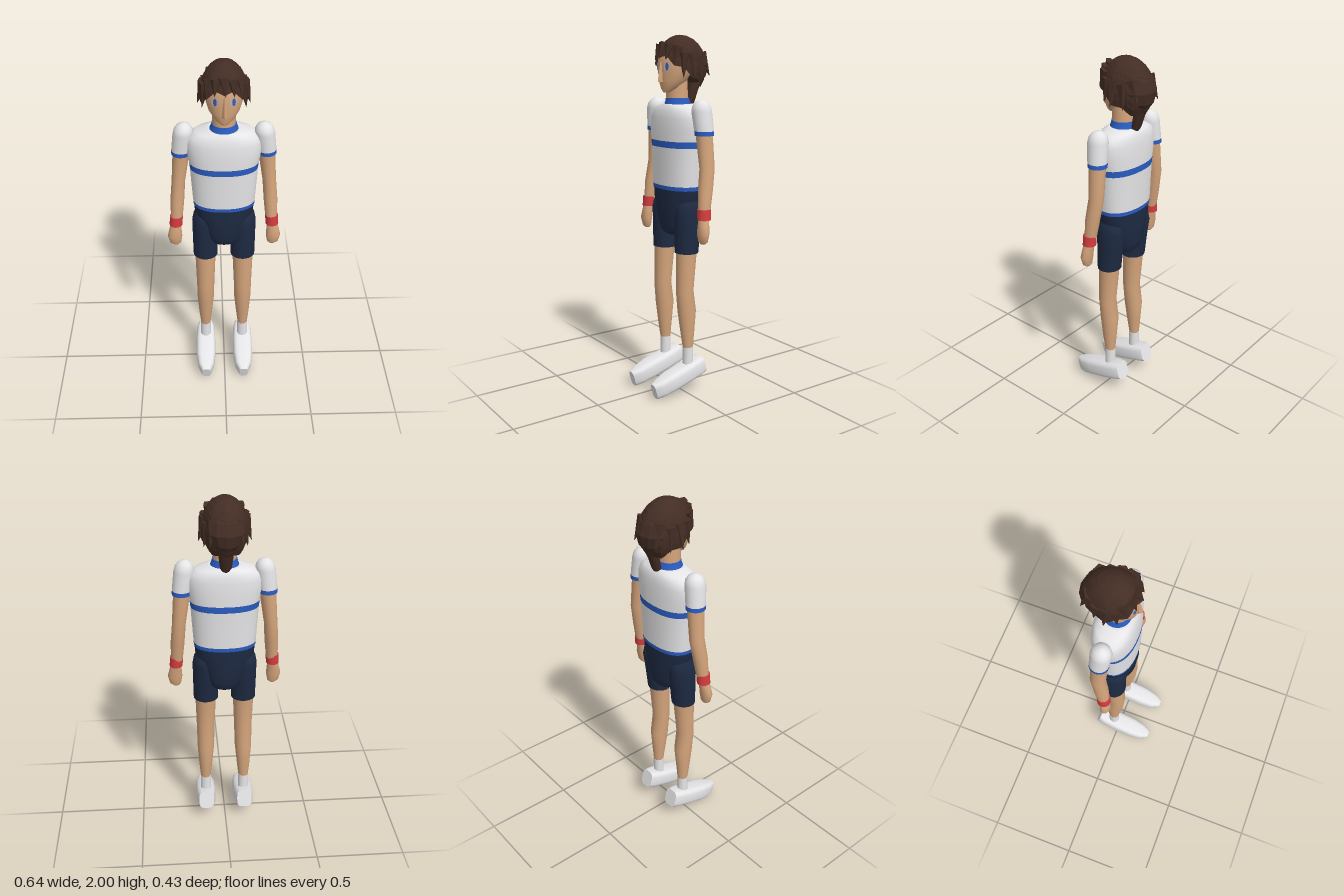
import * as THREE from 'three';

const mat = (name, color, side = THREE.FrontSide) => {
  const m = new THREE.MeshStandardMaterial({ color, side });
  m.name = name;
  return m;
};

// Closed body through superellipse rings [y, centreX, centreZ, radiusX, radiusZ], bottom to top.
// bands gives a material index for each step between rings.
function loft(rings, { n = 24, power = 2, bands = [] } = {}) {
  const pos = [], index = [], geo = new THREE.BufferGeometry();
  const bend = (v) => Math.sign(v) * Math.abs(v) ** (2 / power);
  const addRing = ([y, cx, cz, rx, rz]) => {
    for (let j = 0; j < n; j++) {
      const t = (j / n) * Math.PI * 2;
      pos.push(cx + rx * bend(Math.cos(t)), y, cz + rz * bend(Math.sin(t)));
    }
  };
  rings.forEach(addRing);
  for (let i = 0; i < rings.length - 1; i++) {
    geo.addGroup(index.length, n * 6, bands[i] ?? 0);
    for (let j = 0; j < n; j++) {
      const a = i * n + j, b = i * n + (j + 1) % n;
      index.push(a, a + n, b, b, a + n, b + n);
    }
  }
  [rings[0], rings[rings.length - 1]].forEach((r, top) => {
    const base = pos.length / 3;
    geo.addGroup(index.length, n * 3, (top ? bands[rings.length - 2] : bands[0]) ?? 0);
    addRing(r);
    pos.push(r[1], r[0], r[2]);
    for (let j = 0; j < n; j++) {
      const a = base + j, b = base + (j + 1) % n;
      index.push(base + n, top ? b : a, top ? a : b);
    }
  });
  geo.setAttribute('position', new THREE.Float32BufferAttribute(pos, 3));
  geo.setIndex(index);
  geo.computeVertexNormals();
  return geo;
}

function faceted(geo) {
  const g = geo.index ? geo.toNonIndexed() : geo;
  g.computeVertexNormals();
  return g;
}

// Ridged hair shell, with a jagged rim that is high over the face and low behind
function hairCap() {
  const cols = 32, rows = 9, pos = [], index = [];
  for (let i = 0; i <= rows; i++) {
    for (let j = 0; j < cols; j++) {
      const t = (j / cols) * Math.PI * 2, c = Math.cos(t), s = Math.sin(t);
      const ridge = j % 4 === 0 ? 1 : j % 4 === 2 ? -1 : 0;
      const rim = 1.85 - 0.5 * s - 0.12 * Math.max(0, s) ** 3 + 0.07 * ridge;
      const phi = (rim * i) / rows;
      const r = Math.sin(phi) * (1 + 0.035 * ridge * (i / rows));
      pos.push(0.122 * r * c, 1.83 + 0.17 * Math.cos(phi), -0.05 + (s > 0 ? 0.138 : 0.155) * r * s);
    }
  }
  for (let i = 0; i < rows; i++) {
    for (let j = 0; j < cols; j++) {
      const a = i * cols + j, b = i * cols + (j + 1) % cols;
      index.push(a, b, a + cols, b, b + cols, a + cols);
    }
  }
  const geo = new THREE.BufferGeometry();
  geo.setAttribute('position', new THREE.Float32BufferAttribute(pos, 3));
  geo.setIndex(index);
  return faceted(geo);
}

export function createModel() {
  const model = new THREE.Group();
  model.name = 'athlete';
  const skin = mat('skin', 0xd5a57c), white = mat('white cloth', 0xe6e6e8), blue = mat('blue trim', 0x2a5cc0);
  const navy = mat('navy shorts', 0x1e2a42), red = mat('red wristband', 0xd63c40);
  const hair = mat('brown hair', 0x432d24, THREE.DoubleSide);
  const eyeWhite = mat('eye grey', 0xb4b4c2), iris = mat('eye blue', 0x4a5a94);
  const add = (name, geo, material, parent = model) => {
    const mesh = new THREE.Mesh(geo, material);
    mesh.name = name;
    parent.add(mesh);
    return mesh;
  };

  // Shirt with hem, chest stripe and collar
  add('shirt', loft([
    [1.168, 0, -0.036, 0.168, 0.11], [1.19, 0, -0.036, 0.17, 0.111], [1.3, 0, -0.036, 0.177, 0.112],
    [1.4, 0, -0.037, 0.183, 0.114], [1.435, 0, -0.037, 0.187, 0.114], [1.5, 0, -0.037, 0.199, 0.113],
    [1.56, 0, -0.038, 0.2, 0.109], [1.595, 0, -0.039, 0.185, 0.102], [1.618, 0, -0.04, 0.15, 0.092],
    [1.632, 0, -0.038, 0.085, 0.078],
  ], { n: 36, power: 2.25, bands: [1, 0, 0, 1, 0, 0, 0, 0, 0] }), [white, blue]);
  add('collar', loft([[1.622, 0, -0.035, 0.08, 0.076], [1.645, 0, -0.035, 0.07, 0.067], [1.664, 0, -0.034, 0.066, 0.063]]), blue);

  // Shorts seat
  add('shortsSeat', loft([
    [0.91, 0, -0.04, 0.068, 0.068], [0.925, 0, -0.038, 0.085, 0.085], [0.97, 0, -0.036, 0.108, 0.1],
    [1.06, 0, -0.036, 0.138, 0.105], [1.12, 0, -0.036, 0.162, 0.105], [1.175, 0, -0.036, 0.166, 0.106],
  ], { n: 32, power: 2.2 }), navy);

  for (const s of [1, -1]) {
    const side = s > 0 ? 'left' : 'right';
    const limb = (name, rings, material, opts) =>
      add(side + name, loft(rings.map(([y, x, ...r]) => [y, s * x, ...r]), opts), material);

    // Arm, sleeve, wristband and hand
    limb('Sleeve', [
      [1.474, 0.228, -0.048, 0.051, 0.053], [1.497, 0.226, -0.047, 0.052, 0.053], [1.6, 0.213, -0.04, 0.054, 0.056],
      [1.627, 0.211, -0.04, 0.049, 0.05], [1.646, 0.21, -0.04, 0.036, 0.037], [1.657, 0.21, -0.04, 0.019, 0.019],
      [1.66, 0.21, -0.04, 0.002, 0.002],
    ], [white, blue], { bands: [1, 0, 0, 0, 0, 0] });
    limb('Arm', [
      [1.06, 0.264, -0.022, 0.032, 0.033], [1.18, 0.257, -0.035, 0.038, 0.041],
      [1.3, 0.247, -0.053, 0.037, 0.043], [1.48, 0.227, -0.047, 0.045, 0.046],
    ], skin);
    limb('Wristband', [[1.028, 0.269, -0.019, 0.036, 0.037], [1.085, 0.265, -0.021, 0.036, 0.037]], red);
    limb('Hand', [
      [0.897, 0.272, -0.009, 0.016, 0.011], [0.91, 0.275, -0.008, 0.031, 0.021], [0.955, 0.277, -0.007, 0.041, 0.029],
      [1.0, 0.273, -0.012, 0.034, 0.029], [1.05, 0.267, -0.019, 0.027, 0.029],
    ], skin);

    // Leg, shorts leg, sock and shoe
    limb('ShortsLeg', [
      [0.818, 0.106, -0.021, 0.069, 0.065], [0.95, 0.107, -0.028, 0.07, 0.074],
      [1.05, 0.109, -0.034, 0.069, 0.083], [1.09, 0.11, -0.035, 0.06, 0.074], [1.12, 0.112, -0.035, 0.04, 0.05],
    ], navy);
    limb('Leg', [
      [0.25, 0.113, -0.029, 0.028, 0.028], [0.36, 0.112, -0.025, 0.039, 0.041], [0.48, 0.11, -0.022, 0.049, 0.054],
      [0.6, 0.109, -0.008, 0.051, 0.049], [0.83, 0.107, -0.02, 0.059, 0.059],
    ], skin);
    limb('Sock', [[0.13, 0.113, -0.029, 0.032, 0.031], [0.265, 0.113, -0.029, 0.031, 0.03]], white);
    const shoe = add(side + 'Shoe', loft([
      [0, 0, -0.052, 0.044, 0.052], [0.035, 0, -0.053, 0.054, 0.053], [0.12, 0, -0.053, 0.059, 0.053],
      [0.225, 0, -0.053, 0.058, 0.053], [0.295, 0, -0.049, 0.048, 0.049], [0.341, 0, -0.046, 0.025, 0.046],
    ], { power: 3.4 }), white);
    shoe.rotation.x = THREE.MathUtils.degToRad(106.1);
    shoe.position.set(s * 0.114, 0.096, -0.138);

    // Eye plates set on the face
    const eye = new THREE.Group();
    eye.name = side + 'Eye';
    eye.position.set(s * 0.046, 1.832, 0.0665);
    eye.rotation.y = s * 0.45;
    model.add(eye);
    add(side + 'EyeWhite', new THREE.CircleGeometry(1, 16).scale(0.02, 0.024, 1), eyeWhite, eye);
    add(side + 'Iris', new THREE.CircleGeometry(1, 16).scale(0.01, 0.021, 1).translate(0, 0, 0.002), iris, eye);
  }

  // Neck, head and nose
  add('neck', loft([[1.64, 0, -0.032, 0.061, 0.059], [1.77, 0, -0.03, 0.06, 0.058]]), skin);
  add('head', loft([
    [1.695, 0, 0.038, 0.018, 0.018], [1.715, 0, 0.02, 0.046, 0.045], [1.76, 0, -0.004, 0.08, 0.076],
    [1.82, 0, -0.022, 0.1, 0.096], [1.88, 0, -0.028, 0.105, 0.1], [1.95, 0, -0.03, 0.07, 0.07],
  ]), skin);
  add('nose', faceted(loft([
    [1.75, 0, 0.074, 0.014, 0.02], [1.762, 0, 0.074, 0.013, 0.021], [1.86, 0, 0.069, 0.005, 0.008],
  ], { n: 4 })), skin);

  // Hair: cap, gathered back and ponytail
  add('hairCap', hairCap(), hair);
  add('hairGather', faceted(loft([
    [1.745, 0, -0.15, 0.035, 0.035], [1.78, 0, -0.145, 0.075, 0.062], [1.84, 0, -0.14, 0.1, 0.077],
    [1.9, 0, -0.13, 0.092, 0.064], [1.95, 0, -0.11, 0.05, 0.035],
  ], { n: 12 })), hair);
  add('ponytail', loft([
    [1.615, 0, -0.112, 0.014, 0.014], [1.64, 0, -0.118, 0.03, 0.024], [1.7, 0, -0.134, 0.037, 0.027],
    [1.77, 0, -0.162, 0.04, 0.032], [1.84, 0, -0.178, 0.045, 0.036], [1.88, 0, -0.17, 0.025, 0.025],
  ], { n: 10 }), hair);

  // Pointed locks from root to tip
  const lock = (root, tip, radius) => {
    const a = new THREE.Vector3(...root), b = new THREE.Vector3(...tip), d = b.clone().sub(a);
    const mesh = add('hairLock', faceted(new THREE.ConeGeometry(radius, d.length(), 6)), hair);
    mesh.position.copy(a).add(b).multiplyScalar(0.5);
    mesh.quaternion.setFromUnitVectors(new THREE.Vector3(0, 1, 0), d.normalize());
  };
  lock([0, 1.95, 0.05], [0.006, 1.87, 0.094], 0.032);
  for (const s of [1, -1]) {
    lock([s * 0.04, 1.94, 0.045], [s * 0.05, 1.865, 0.08], 0.03);
    lock([s * 0.075, 1.93, 0.02], [s * 0.09, 1.84, 0.052], 0.032);
    lock([s * 0.095, 1.9, -0.01], [s * 0.112, 1.77, 0.005], 0.032);
    lock([s * 0.095, 1.89, -0.05], [s * 0.137, 1.765, -0.055], 0.038);
    lock([s * 0.085, 1.88, -0.1], [s * 0.112, 1.755, -0.115], 0.038);
    lock([s * 0.06, 1.9, -0.14], [s * 0.085, 1.78, -0.19], 0.038);
  }
  return model;
}
